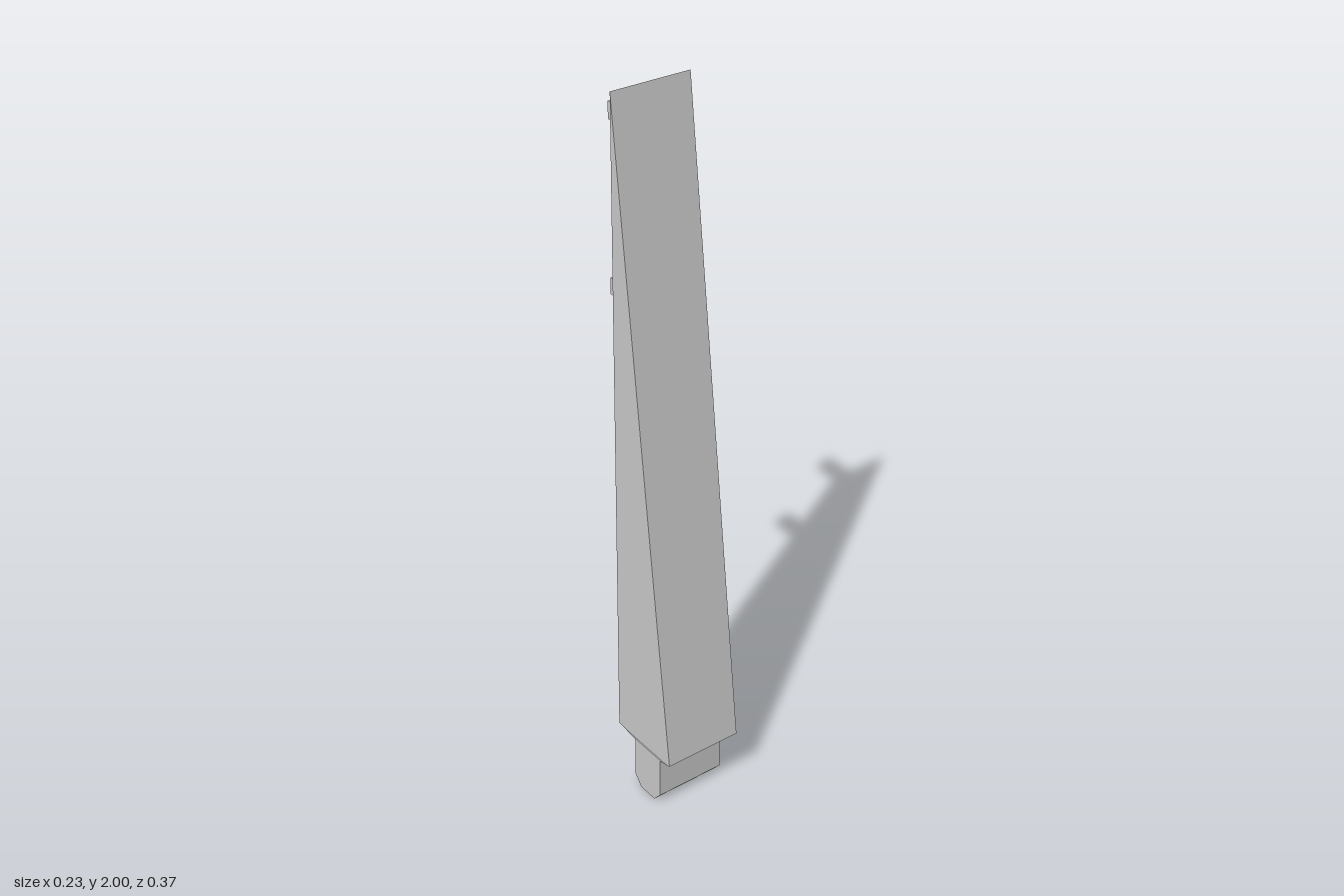
import * as THREE from 'three';
import { ConvexGeometry } from 'three/addons/geometries/ConvexGeometry.js';

const material = new THREE.MeshStandardMaterial({ color: 0xcccccc, flatShading: true });

function addPart(parent, name, geometry) {
  const mesh = new THREE.Mesh(geometry, material);
  mesh.name = name;
  parent.add(mesh);
  return mesh;
}

// Side profile of [z, y] points extruded along x, centred on x = 0
function extrudeProfile(points, width) {
  const shape = new THREE.Shape(points.map(([z, y]) => new THREE.Vector2(-z, y)));
  const geometry = new THREE.ExtrudeGeometry(shape, { depth: width, bevelEnabled: false });
  return geometry.translate(0, 0, -width / 2).rotateY(Math.PI / 2);
}

// Four corners of a horizontal rectangle
function rectangle(y, halfX, z0, z1) {
  return [[-halfX, z0], [halfX, z0], [halfX, z1], [-halfX, z1]]
    .map(([x, z]) => new THREE.Vector3(x, y, z));
}

// Square peg on a flared collar, pointing backwards
function createPeg(y) {
  const peg = new THREE.Group();
  peg.name = 'mountingPeg';
  const r = 0.0225, flare = 0.071, back = -0.045, neck = -0.07, tip = -0.184;
  const corners = [];
  for (const sx of [-1, 1]) for (const sy of [-1, 1]) {
    corners.push(
      new THREE.Vector3(sx * r, sy * flare, back),
      new THREE.Vector3(sx * flare, sy * r, back),
      new THREE.Vector3(sx * r, sy * r, neck));
  }
  addPart(peg, 'collar', new ConvexGeometry(corners));
  addPart(peg, 'pin', new THREE.BoxGeometry(2 * r, 2 * r, neck - tip))
    .position.z = (neck + tip) / 2;
  peg.position.y = y;
  return peg;
}

export function createModel() {
  const model = new THREE.Group();
  model.name = 'taperedPost';

  // Long wedge with an upright back and a sloping front
  addPart(model, 'wedge', extrudeProfile([[0.183, 0.178], [-0.045, 0.178], [-0.045, 2]], 0.228));

  // Short taper from the wedge to the foot
  addPart(model, 'shoulder', new ConvexGeometry([
    ...rectangle(0.178, 0.114, -0.045, 0.183),
    ...rectangle(0.152, 0.103, 0.014, 0.126),
  ]));

  // Foot with chamfered lower edges
  addPart(model, 'foot', extrudeProfile([
    [0.126, 0.152], [0.126, 0.03], [0.1, 0], [0.04, 0], [0.014, 0.03], [0.014, 0.152],
  ], 0.206));

  for (const y of [1.43, 1.89]) model.add(createPeg(y));

  return model;
}
